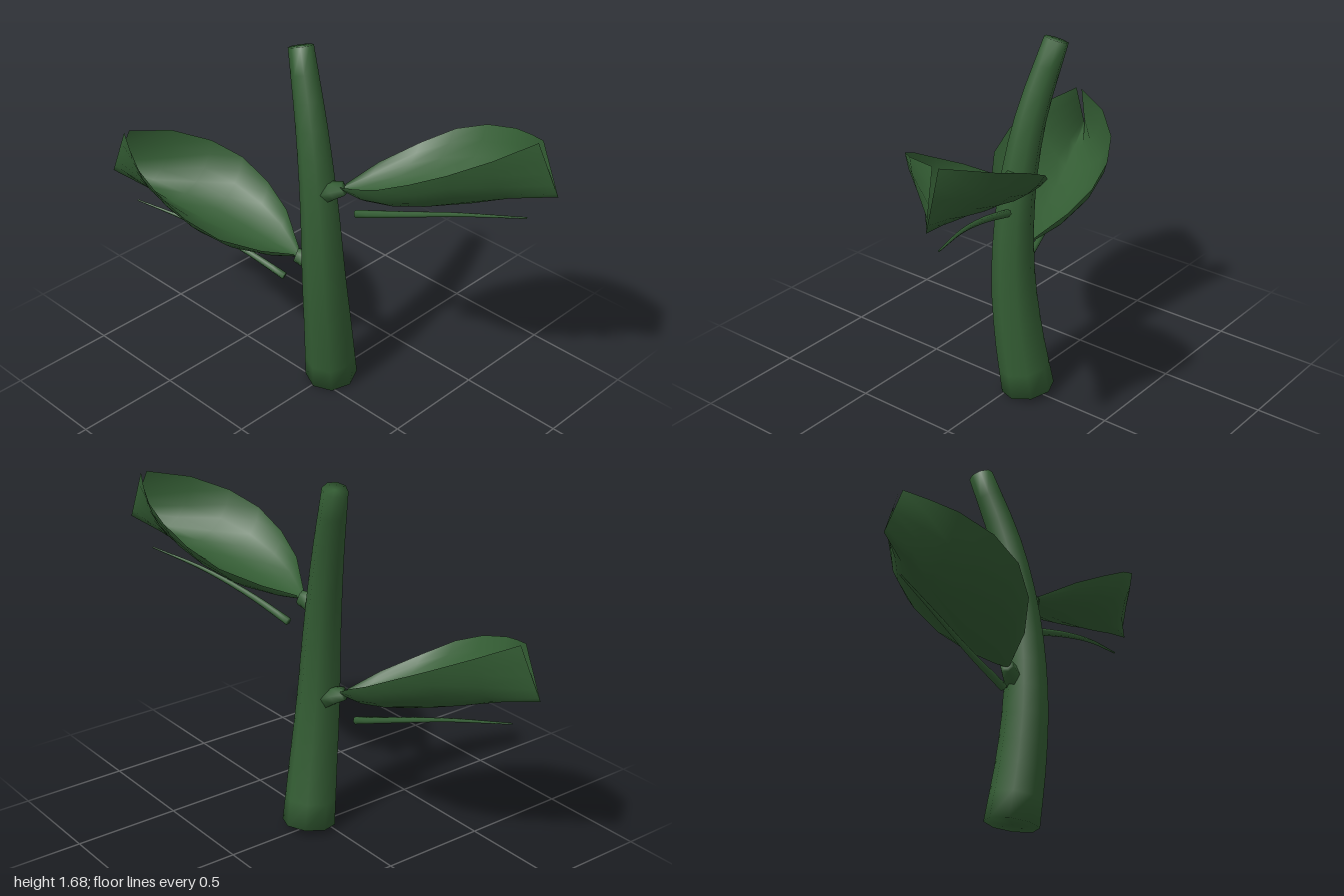
import * as THREE from 'three';

const V = (p) => new THREE.Vector3(...p);
const { lerp } = THREE.MathUtils;

function finish(pos, index) {
  const g = new THREE.BufferGeometry();
  g.setAttribute('position', new THREE.Float32BufferAttribute(pos, 3));
  g.setIndex(index);
  g.computeVertexNormals();
  return g;
}

// Tapered, capped tube along a smooth path
function taperedTube(points, r0, r1, segments, sides) {
  const curve = new THREE.CatmullRomCurve3(points.map(V));
  const { normals, binormals } = curve.computeFrenetFrames(segments);
  const pos = [], index = [];
  for (let i = 0; i <= segments; i++) {
    const c = curve.getPointAt(i / segments);
    const r = lerp(r0, r1, i / segments);
    for (let j = 0; j < sides; j++) {
      const a = (j / sides) * Math.PI * 2;
      const p = c.clone()
        .addScaledVector(normals[i], Math.cos(a) * r)
        .addScaledVector(binormals[i], Math.sin(a) * r);
      pos.push(p.x, p.y, p.z);
    }
  }
  const start = pos.length / 3, end = start + 1, last = segments * sides;
  pos.push(...curve.getPointAt(0).toArray(), ...curve.getPointAt(1).toArray());
  for (let j = 0; j < sides; j++) {
    const k = (j + 1) % sides;
    for (let i = 0; i < segments; i++) {
      const a = i * sides + j, b = i * sides + k;
      index.push(a, b, b + sides, a, b + sides, a + sides);
    }
    index.push(start, k, j, end, last + j, last + k);
  }
  return finish(pos, index);
}

// Cupped leaf: sections between a keel and two raised edges, folded shut at the tip
function leafGeometry() {
  const keel = [[0.10, 1.09], [0.16, 1.087], [0.27, 1.095], [0.40, 1.12],
    [0.55, 1.16], [0.70, 1.207], [0.84, 1.255], [1.0, 1.30]]
    .map(([x, y]) => [x, y, -0.04 - 0.35 * (x - 0.1)]);
  const front = [[0.10, 1.105, -0.02], [0.16, 1.14, 0.01], [0.28, 1.21, 0.07], [0.43, 1.285, 0.097],
    [0.58, 1.365, 0.077], [0.71, 1.43, 0.005], [0.83, 1.49, -0.13], [0.91, 1.53, -0.315]];
  const back = [[0.105, 1.11, -0.06], [0.155, 1.175, -0.21], [0.26, 1.255, -0.36], [0.385, 1.34, -0.442],
    [0.535, 1.41, -0.465], [0.70, 1.465, -0.442], [0.81, 1.5, -0.395], [0.91, 1.53, -0.345]];
  const half = 5, width = 2 * half + 1, pos = [], index = [];
  keel.forEach((k, i) => {
    for (let j = -half; j <= half; j++) {
      const edge = j < 0 ? front[i] : back[i];
      const round = j < 0 ? 0.9 : 0.5; // the front wall curls more than the back
      const s = Math.abs(j) / half, a = s * Math.PI / 2;
      const up = lerp(s, 1 - Math.cos(a), round);
      // the folded tip runs straight from keel to edge
      const out = i === keel.length - 1 ? up : lerp(s, Math.sin(a), round);
      pos.push(lerp(k[0], edge[0], out), lerp(k[1], edge[1], up), lerp(k[2], edge[2], out));
    }
    if (i === 0) return;
    for (let j = 0; j < width - 1; j++) {
      const a = (i - 1) * width + j, b = a + width;
      index.push(a, a + 1, b + 1, a, b + 1, b);
    }
  });
  return finish(pos, index);
}

export function createModel() {
  const green = new THREE.MeshStandardMaterial({ color: 0x335c33, side: THREE.DoubleSide });
  green.name = 'leaf green';
  const model = new THREE.Group();
  model.name = 'plant';
  const add = (parent, name, geometry) => {
    const mesh = new THREE.Mesh(geometry, green);
    mesh.name = name;
    parent.add(mesh);
  };

  // Bowed, tapering stem
  add(model, 'stem', taperedTube([[0.01, 0.02, -0.07], [0.028, 0.3, -0.03], [0.03, 0.6, 0],
    [0.003, 0.97, 0.003], [-0.065, 1.32, -0.02], [-0.18, 1.665, -0.07]], 0.122, 0.056, 14, 8));

  // Two identical shoots, the lower one turned half way round the stem
  const node = taperedTube([[0.03, 1.06, 0], [0.07, 1.08, -0.015], [0.11, 1.095, -0.04]], 0.052, 0.033, 2, 6);
  const leaf = leafGeometry();
  const rib = taperedTube([[0.155, 0.972, -0.07], [0.38, 1.045, -0.125],
    [0.62, 1.114, -0.207], [0.885, 1.168, -0.315]], 0.018, 0.004, 12, 6);
  [['upperShoot', 0, 0], ['lowerShoot', Math.PI, -0.41]].forEach(([name, turn, drop]) => {
    const shoot = new THREE.Group();
    shoot.name = name;
    shoot.rotation.y = turn;
    shoot.position.y = drop;
    add(shoot, 'node', node);
    add(shoot, 'leaf', leaf);
    add(shoot, 'rib', rib);
    model.add(shoot);
  });
  return model;
}
